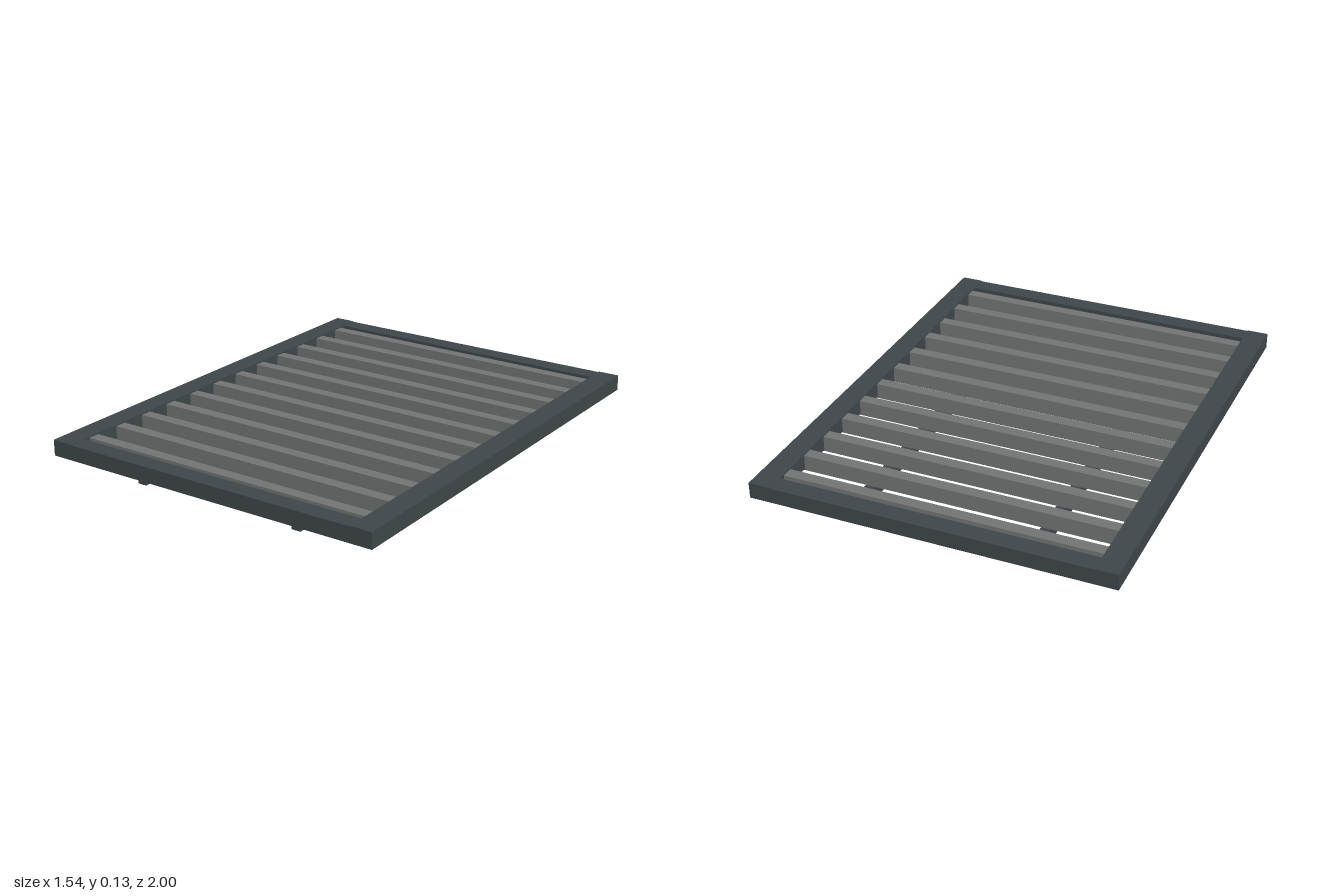
import * as THREE from 'three';

export function createModel() {
  const model = new THREE.Group();
  const frameMat = new THREE.MeshStandardMaterial({ name: 'anthracite', color: 0x3e4649 });
  const slatMat = new THREE.MeshStandardMaterial({ name: 'slat grey', color: 0x707372 });

  // Box given by its size, centre x/z and underside height
  function bar(name, mat, [w, h, d], x, bottom, z) {
    const mesh = new THREE.Mesh(new THREE.BoxGeometry(w, h, d), mat);
    mesh.name = name;
    mesh.position.set(x, bottom + h / 2, z);
    model.add(mesh);
  }

  // Outer frame and the two bearers beneath
  for (const s of [-1, 1]) {
    const side = s > 0 ? 'left' : 'right';
    bar(side + 'SideRail', frameMat, [0.095, 0.069, 2], s * 0.7235, 0.061, 0);
    bar(s > 0 ? 'frontRail' : 'backRail', frameMat, [1.352, 0.066, 0.08], 0, 0.061, s * 0.96);
    bar(side + 'Bearer', frameMat, [0.04, 0.055, 1.835], s * 0.378, 0, 0);
  }

  // Evenly spaced slats, let into the side rails
  const count = 12, span = 1.735;
  for (let i = 0; i < count; i++) {
    const z = -span / 2 + (span * i) / (count - 1);
    bar('slat' + (i + 1), slatMat, [1.37, 0.069, 0.05], 0, 0.055, z);
  }
  return model;
}
